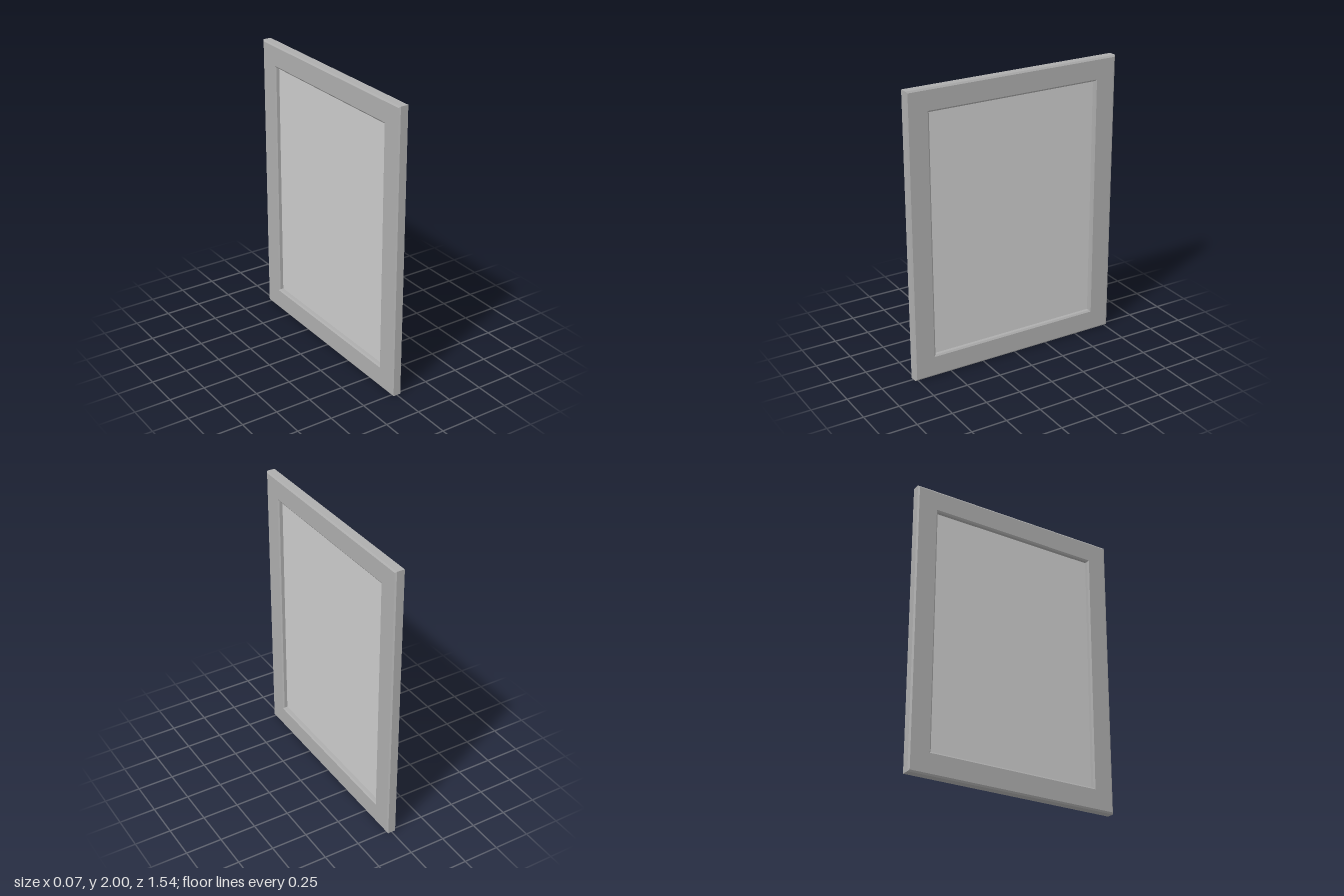
import * as THREE from 'three';

const HEIGHT = 2, WIDTH = 1.54;       // outer size of the frame
const BORDER = 0.155;                 // rail and stile width
const BODY = 0.054;                   // straight part of the edge
const BEVEL_OUT = 0.008, BEVEL_IN = 0.011;

// Rectangle centred on the origin, as a closed path of the given kind
function rectangle(Kind, w, h) {
  return new Kind([
    new THREE.Vector2(-w / 2, -h / 2),
    new THREE.Vector2(w / 2, -h / 2),
    new THREE.Vector2(w / 2, h / 2),
    new THREE.Vector2(-w / 2, h / 2),
  ]);
}

export function createModel() {
  const group = new THREE.Group();
  group.name = 'framedPanel';
  const openW = WIDTH - 2 * BORDER, openH = HEIGHT - 2 * BORDER;

  // Frame with chamfered outer and inner edges on both faces
  const shape = rectangle(THREE.Shape, WIDTH, HEIGHT);
  shape.holes.push(rectangle(THREE.Path, openW, openH));
  const frameGeometry = new THREE.ExtrudeGeometry(shape, {
    depth: BODY,
    bevelEnabled: true,
    bevelThickness: BEVEL_OUT,
    bevelSize: BEVEL_IN,
    bevelOffset: -BEVEL_IN,
    bevelSegments: 1,
  });
  frameGeometry.translate(0, 0, -BODY / 2).rotateY(Math.PI / 2);
  const frame = new THREE.Mesh(
    frameGeometry,
    new THREE.MeshStandardMaterial({ color: 0xadadad, flatShading: true })
  );
  frame.name = 'frame';
  frame.position.y = HEIGHT / 2;

  // Thin panel recessed from both sides
  const panel = new THREE.Mesh(
    new THREE.BoxGeometry(0.008, openH, openW),
    new THREE.MeshStandardMaterial({ color: 0xcccccc })
  );
  panel.name = 'panel';
  panel.position.y = HEIGHT / 2;

  group.add(frame, panel);
  return group;
}
